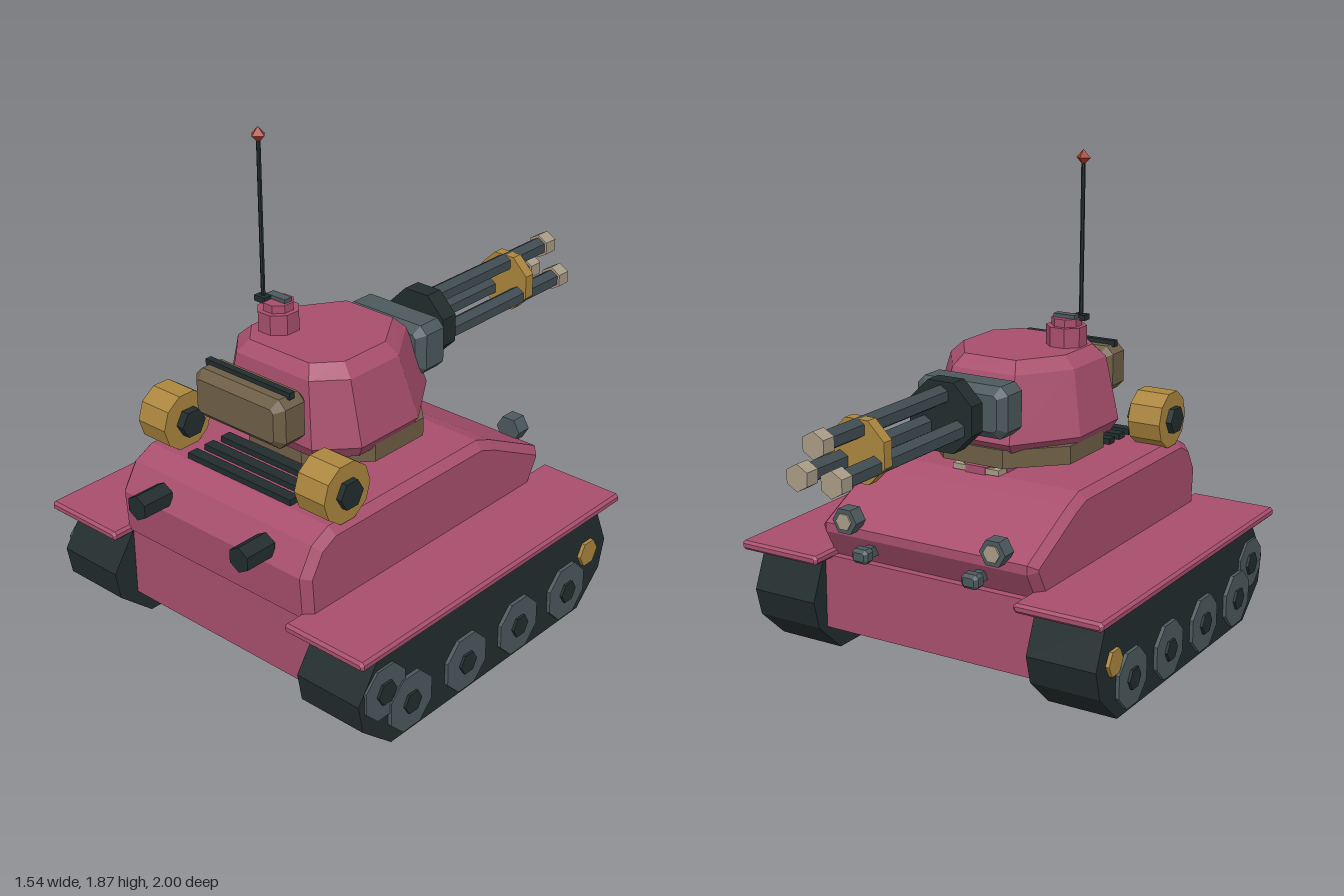
import * as THREE from 'three';

const mat = (name, color) => {
  const m = new THREE.MeshStandardMaterial({ color });
  m.name = name;
  return m;
};

export function createModel() {
  const root = new THREE.Group();
  root.name = 'tank';
  const paint = mat('rose paint', 0xa84f6d);
  const dark = mat('dark rubber', 0x222d2e);
  const steel = mat('steel', 0x4c595e);
  const gun = mat('gunmetal', 0x404c52);
  const khaki = mat('khaki', 0x6e5f46);
  const gold = mat('brass', 0xab863e);
  const beige = mat('pale metal', 0xa99b86);
  const red = mat('red', 0xa8382b);

  // Faceted mesh
  const add = (name, geo, material, x = 0, y = 0, z = 0) => {
    const g = geo.index ? geo.toNonIndexed() : geo;
    g.computeVertexNormals();
    const m = new THREE.Mesh(g, material);
    m.name = name;
    m.position.set(x, y, z);
    root.add(m);
    return m;
  };
  const box = (w, h, d) => new THREE.BoxGeometry(w, h, d);

  // Prism along an axis, with a flat side or a corner on top
  const prism = (r, len, sides, axis, flat = false) => {
    const g = new THREE.CylinderGeometry(r, r, len, sides);
    if (flat) g.rotateY(Math.PI / sides);
    if (axis === 'x') g.rotateZ(Math.PI / 2);
    if (axis === 'z') g.rotateX(Math.PI / 2);
    return g;
  };

  // Extruded outline with a chamfer of size b, centred on its depth
  const slab = (points, depth, b) => {
    const shape = new THREE.Shape(points.map(([x, y]) => new THREE.Vector2(x, y)));
    const g = new THREE.ExtrudeGeometry(shape, {
      depth: depth - 2 * b, bevelEnabled: b > 0, bevelSegments: 1,
      bevelSize: b, bevelThickness: b, bevelOffset: -b,
    });
    return g.translate(0, 0, b - depth / 2);
  };
  // Side outline given as [z, y], extruded across x
  const sideSlab = (points, width, b) => slab(points, width, b).rotateY(-Math.PI / 2);
  const chamferBox = (w, h, d, c, b) => {
    const x = w / 2, y = h / 2;
    return slab([[x, c - y], [x, y - c], [x - c, y], [c - x, y],
      [-x, y - c], [-x, c - y], [c - x, -y], [x - c, -y]], d, b);
  };

  // Hull
  add('lowerHull', box(0.92, 0.29, 1.2), paint, 0, 0.255, 0.25);
  add('upperHull', sideSlab([[0.86, 0.385], [0.89, 0.41], [0.9, 0.57], [0.84, 0.67], [0.76, 0.71],
    [-0.02, 0.71], [-0.1, 0.68], [-0.38, 0.54], [-0.38, 0.505], [-0.31, 0.385]], 0.92, 0.03), paint);

  // Running gear, mirrored
  const trackOutline = [[0.79, 0], [0.93, 0.12], [0.95, 0.23], [0.85, 0.375],
    [-0.37, 0.375], [-0.43, 0.23], [-0.4, 0.12], [-0.27, 0]];
  for (const s of [1, -1]) {
    add('fender', chamferBox(0.35, 0.036, 1.43, 0.01, 0.01), paint, s * 0.595, 0.41, 0.255);
    add('track', sideSlab(trackOutline, 0.275, 0), dark, s * 0.5955, 0, 0);
    for (const z of [0.7, 0.405, 0.11, -0.18]) {
      add('roadWheel', prism(0.113, 0.05, 8, 'x', true), steel, s * 0.722, 0.125, z);
      add('wheelHub', prism(0.043, 0.05, 6, 'x'), dark, s * 0.732, 0.125, z);
    }
    add('driveWheel', prism(0.105, 0.05, 8, 'x', true), steel, s * 0.717, 0.23, 0.825);
    add('driveHub', prism(0.045, 0.05, 6, 'x'), dark, s * 0.727, 0.23, 0.825);
    add('idlerHub', prism(0.053, 0.05, 6, 'x'), gold, s * 0.722, 0.23, -0.31);

    // Drums, pipes and lamps on the hull
    add('drum', prism(0.113, 0.135, 10, 'x'), gold, s * 0.3825, 0.81, 0.685);
    add('drumCap', prism(0.055, 0.19, 6, 'x'), dark, s * 0.3775, 0.81, 0.685);
    add('exhaustPipe', prism(0.048, 0.13, 6, 'z', true).rotateZ(Math.PI / 6), dark, s * 0.25, 0.615, 0.935);
    add('headLamp', prism(0.053, 0.06, 6, 'z').rotateZ(Math.PI / 6), steel, s * 0.315, 0.575, -0.392);
    add('lampLens', prism(0.034, 0.008, 6, 'z').rotateZ(Math.PI / 6), beige, s * 0.315, 0.575, -0.425);
    add('markerLamp', chamferBox(0.07, 0.055, 0.055, 0.012, 0.012), steel, s * 0.235, 0.462, -0.422);
    add('lampBracket', box(0.03, 0.04, 0.1), steel, s * 0.235, 0.462, -0.365);
  }

  // Engine grille, pivot and pale plate on the deck
  for (const z of [0.57, 0.65, 0.73]) add('grilleBar', box(0.5, 0.025, 0.044), dark, 0, 0.72, z);
  add('deckPivot', prism(0.11, 0.03, 8, 'y', true), paint, 0, 0.722, 0.07);
  add('deckPlate', box(0.2, 0.022, 0.11), beige, 0, 0.722, 0.025);

  // Turret, lofted through tapering rings
  add('turretRing', prism(0.335, 0.07, 8, 'y', true), khaki, 0, 0.785, 0.26);
  const rings = [[0.8, 0.3, -0.02, 0.575], [0.845, 0.325, -0.06, 0.6],
    [1.085, 0.27, 0.025, 0.572], [1.13, 0.222, 0.07, 0.535]];
  const verts = [], idx = [];
  for (const [y, w, z0, z1] of rings) {
    const L = z1 - z0, za = z0 + 0.36 * L, zb = z1 - 0.19 * L, q = w * 0.5, p = w * 0.64;
    for (const [x, z] of [[w, zb], [w, za], [q, z0], [-q, z0], [-w, za], [-w, zb], [-p, z1], [p, z1]]) verts.push(x, y, z);
  }
  for (let r = 0; r < 3; r++) {
    for (let i = 0; i < 8; i++) {
      const a = r * 8 + i, b = r * 8 + (i + 1) % 8;
      idx.push(a, b, b + 8, a, b + 8, a + 8);
    }
  }
  for (let i = 1; i < 7; i++) idx.push(24, 24 + i, 25 + i, 0, i + 1, i);
  const turret = new THREE.BufferGeometry();
  turret.setAttribute('position', new THREE.Float32BufferAttribute(verts, 3));
  turret.setIndex(idx);
  add('turret', turret, paint);

  // Stowage box
  add('stowageBox', chamferBox(0.425, 0.185, 0.15, 0.03, 0.03), khaki, 0, 0.985, 0.68);
  add('stowageStrap', box(0.4, 0.025, 0.025), dark, 0, 1.082, 0.68);

  // Mantlet and triple gun
  add('mantlet', chamferBox(0.385, 0.195, 0.155, 0.03, 0.03), steel, 0, 0.982, -0.07);
  add('gunCollar', prism(0.141, 0.073, 8, 'z', true), dark, 0, 0.98, -0.226);
  add('barrelBand', prism(0.12, 0.045, 8, 'z', true), gold, 0, 0.982, -0.742);
  for (let i = 0; i < 3; i++) {
    const a = Math.PI / 2 + i * Math.PI * 2 / 3;
    const x = 0.08 * Math.cos(a), y = 0.98 + 0.08 * Math.sin(a);
    add('barrel', prism(0.037, 0.72, 6, 'z'), gun, x, y, -0.6);
    add('muzzle', prism(0.048, 0.058, 6, 'z'), beige, x, y, -0.971);
  }

  // Cupola, periscope and antenna
  add('cupola', prism(0.078, 0.08, 8, 'y', true), paint, -0.138, 1.165, 0.395);
  add('cupolaHatch', prism(0.058, 0.035, 8, 'y', true), paint, -0.138, 1.217, 0.395);
  add('periscope', box(0.09, 0.022, 0.036), steel, -0.14, 1.238, 0.388);
  add('antennaBase', box(0.05, 0.022, 0.04), dark, -0.186, 1.236, 0.42);
  add('antenna', prism(0.008, 0.59, 6, 'y'), dark, -0.186, 1.53, 0.42);
  add('antennaTip', new THREE.OctahedronGeometry(0.03), red, -0.186, 1.835, 0.42);

  return root;
}
